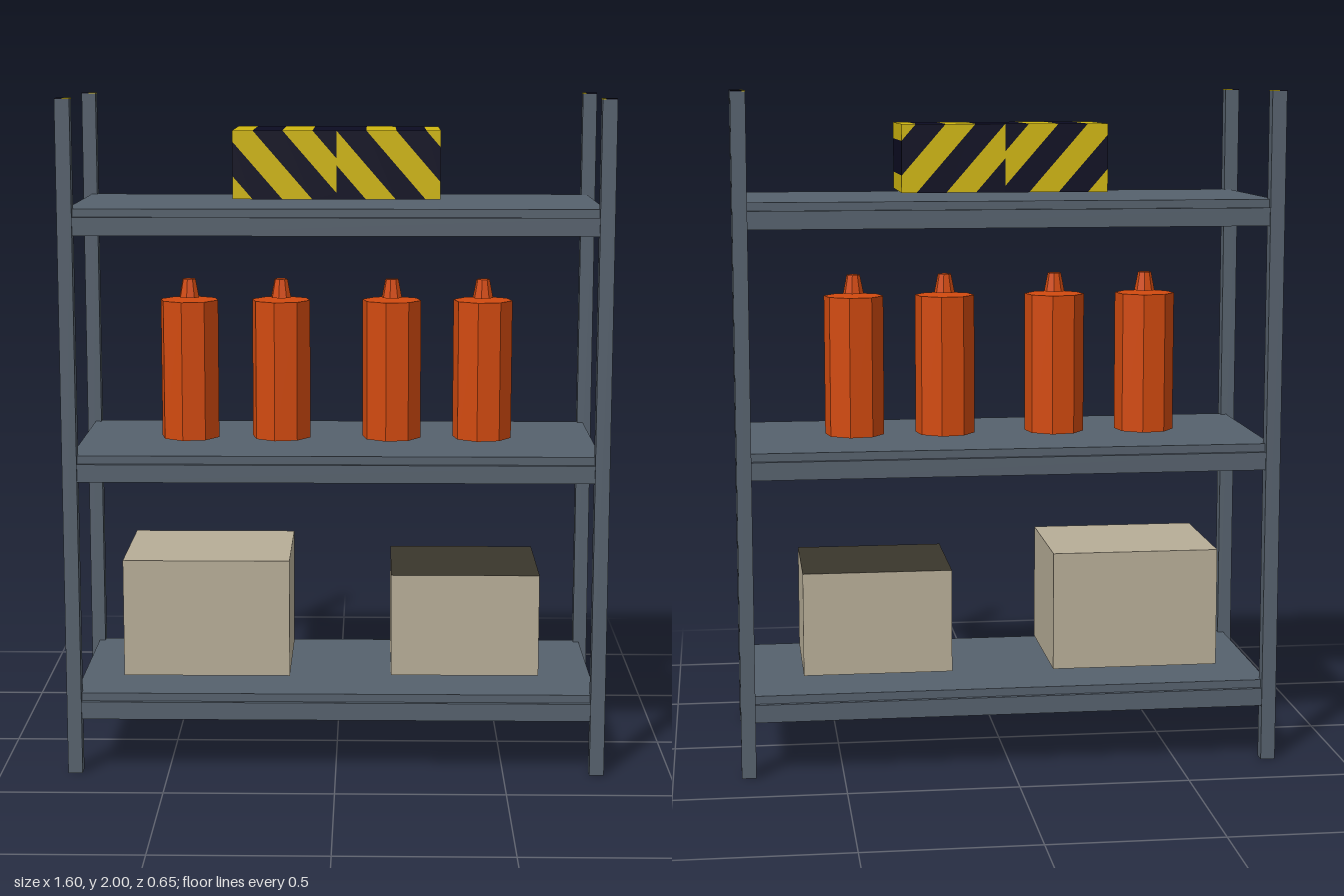
import * as THREE from 'three';

const mat = (name, color) => {
  const m = new THREE.MeshStandardMaterial({ color });
  m.name = name;
  return m;
};

export function createModel() {
  const steel = mat('steel grey', 0x56616d);
  const orange = mat('canister orange', 0xd24a0f);
  const tan = mat('carton tan', 0xb7ad97);
  const dark = mat('carton dark top', 0x3a362c);
  const yellow = mat('hazard yellow', 0xcfb60f);
  const black = mat('hazard black', 0x0c0c22);

  const root = new THREE.Group();
  root.name = 'storageRack';

  const add = (parent, name, geometry, material) => {
    const mesh = new THREE.Mesh(geometry, material);
    mesh.name = name;
    parent.add(mesh);
    return mesh;
  };
  // Box given by its minimum and maximum corners
  const box = (parent, name, material, x0, x1, y0, y1, z0, z1) => {
    const mesh = add(parent, name, new THREE.BoxGeometry(x1 - x0, y1 - y0, z1 - z0), material);
    mesh.position.set((x0 + x1) / 2, (y0 + y1) / 2, (z0 + z1) / 2);
    return mesh;
  };
  const group = (name) => {
    const g = new THREE.Group();
    g.name = name;
    root.add(g);
    return g;
  };

  // Four corner posts with two-colour end caps
  for (const x of [-0.8, 0.757]) {
    for (const z of [-0.325, 0.285]) {
      const post = group('post');
      const split = x < 0 ? -0.778 : 0.767;
      box(post, 'postShaft', steel, x, x + 0.043, 0, 1.997, z, z + 0.04);
      box(post, 'capLeftHalf', x < 0 ? black : yellow, x, split, 1.997, 2, z, z + 0.04);
      box(post, 'capRightHalf', x < 0 ? yellow : black, split, x + 0.043, 1.997, 2, z, z + 0.04);
    }
  }

  // Three shelves: panel, long beams front and back, short braces at the ends
  for (const top of [0.243, 0.963, 1.685]) {
    const shelf = group('shelf');
    box(shelf, 'panel', steel, -0.775, 0.775, top - 0.024, top, -0.307, 0.307);
    for (const s of [-1, 1]) {
      const beam = box(shelf, 'longBeam', steel, -0.775, 0.775, top - 0.077, top - 0.024, -0.0125, 0.0125);
      beam.position.z = s * 0.3075;
      const brace = box(shelf, 'endBrace', steel, -0.0125, 0.0125, top - 0.04, top - 0.024, -0.295, 0.295);
      brace.position.x = s * 0.7625;
    }
  }

  // Cartons on the bottom shelf
  box(root, 'largeCarton', tan, -0.64, -0.14, 0.27, 0.625, -0.208, 0.208);
  box(root, 'smallCarton', [tan, tan, dark, tan, tan, tan], 0.165, 0.61, 0.27, 0.58, -0.195, 0.195);

  // Eight-sided canisters on the middle shelf
  const turn = -Math.PI / 16;
  const flatCylinder = (r0, r1, h) =>
    new THREE.CylinderGeometry(r0, r1, h, 8, 1, false, turn).toNonIndexed();
  const bodyGeo = flatCylinder(0.09, 0.09, 0.42);
  const nozzleGeo = flatCylinder(0.02, 0.031, 0.056);
  bodyGeo.computeVertexNormals();
  nozzleGeo.computeVertexNormals();
  for (const x of [-0.448, -0.17, 0.165, 0.44]) {
    const canister = group('canister');
    canister.position.x = x;
    add(canister, 'canisterBody', bodyGeo, orange).position.y = 1.178;
    add(canister, 'canisterNozzle', nozzleGeo, orange).position.y = 1.423;
  }

  // Striped crate: each half is cut into slanted bands that run through its depth
  const bottom = 1.702, topY = 1.902, slope = 1.15, band = 0.0875;
  const along = (p) => p.x - (topY - p.y) / slope;
  const clip = (points, limit, sign) => {
    const out = [];
    points.forEach((p, i) => {
      const q = points[(i + 1) % points.length];
      const a = sign * (along(p) - limit), b = sign * (along(q) - limit);
      if (a >= 0) out.push(p);
      if (a * b < 0) out.push(p.clone().lerp(q, a / (a - b)));
    });
    return out;
  };
  const crate = group('stripedCrate');
  for (const [x0, x1, start] of [[-0.305, 0, -0.07], [0, 0.305, 0]]) {
    const half = [[x0, bottom], [x1, bottom], [x1, topY], [x0, topY]].map(([x, y]) => new THREE.Vector2(x, y));
    for (let i = -6; i < 4; i++) {
      const a = start + i * band;
      const piece = clip(clip(half, a, 1), a + band, -1);
      if (piece.length < 3) continue;
      const geo = new THREE.ExtrudeGeometry(new THREE.Shape(piece), { depth: 0.314, bevelEnabled: false });
      geo.translate(0, 0, -0.157);
      add(crate, i % 2 === 0 ? 'blackBand' : 'yellowBand', geo, i % 2 === 0 ? black : yellow);
    }
  }
  return root;
}
